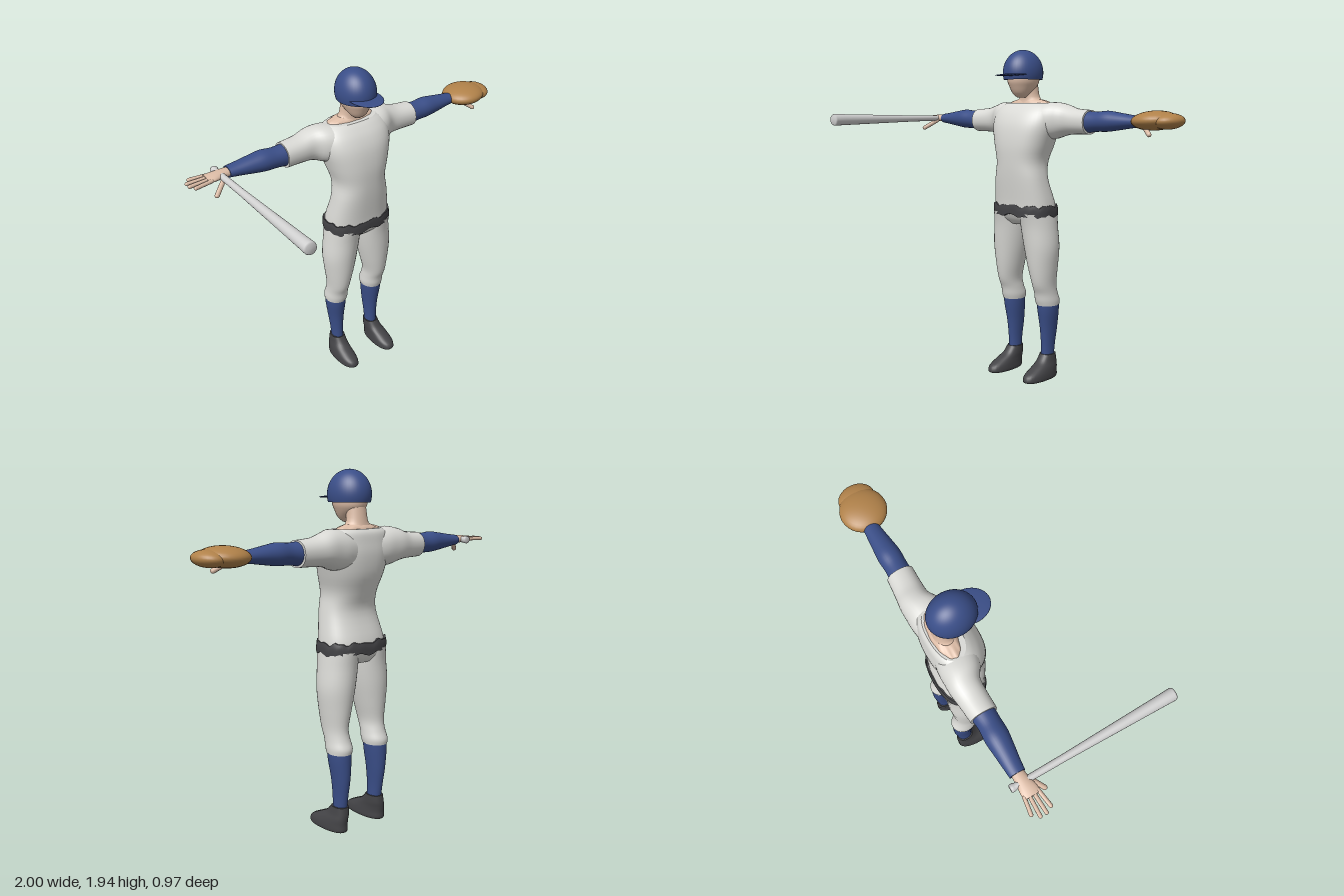
import * as THREE from 'three';

const mat = (name, color, side = THREE.FrontSide) => {
  const m = new THREE.MeshStandardMaterial({ color, side });
  m.name = name;
  return m;
};

// Catmull-Rom blend of four numbers
const blend = (a, b, c, d, t) =>
  0.5 * (2 * b + (c - a) * t + (2 * a - 5 * b + 4 * c - d) * t * t + (3 * b - a - 3 * c + d) * t * t * t);

// Smooth skin over oval sections. Row: [position, centre1, centre2, radius1, radius2].
// Along 'y' the section lies in x,z; along 'x' it lies in y,z. wave(angle, v) shifts points along the axis.
function loft(axis, rows, { n = 2, seg = 32, steps = 4, wave = null } = {}) {
  const rings = [];
  const last = rows.length - 1;
  for (let i = 0; i < last; i++) {
    for (let k = 0; k < steps + (i === last - 1 ? 1 : 0); k++) {
      const [a, b, c, d] = [rows[Math.max(i - 1, 0)], rows[i], rows[i + 1], rows[Math.min(i + 2, last)]];
      rings.push(b.map((v, j) => blend(a[j], v, c[j], d[j], k / steps)));
    }
  }
  const pos = [], idx = [];
  const put = (p, u, v) => (axis === 'y' ? pos.push(u, p, v) : pos.push(p, u, v));
  const pow = (v) => Math.sign(v) * Math.abs(v) ** (2 / n);
  const addRing = ([p, c1, c2, r1, r2], v) => {
    for (let s = 0; s < seg; s++) {
      const a = (s / seg) * Math.PI * 2;
      put(p + (wave ? wave(a, v) : 0), c1 + r1 * pow(Math.cos(a)), c2 + r2 * pow(Math.sin(a)));
    }
  };
  rings.forEach((r, i) => addRing(r, i / (rings.length - 1)));
  const flip = (axis === 'y') !== (rows[last][0] < rows[0][0]);
  const tri = (a, b, c) => (flip ? idx.push(a, c, b) : idx.push(a, b, c));
  for (let i = 0; i < rings.length - 1; i++) {
    for (let s = 0; s < seg; s++) {
      const a = i * seg + s, b = i * seg + ((s + 1) % seg);
      tri(a, b, b + seg);
      tri(a, b + seg, a + seg);
    }
  }
  // flat end caps with their own corners
  [[rings[0], 0], [rings[rings.length - 1], 1]].forEach(([r, v]) => {
    const start = pos.length / 3;
    addRing(r, v);
    put(r[0], r[1], r[2]);
    for (let s = 0; s < seg; s++) {
      const a = start + s, b = start + ((s + 1) % seg);
      v ? tri(a, b, start + seg) : tri(b, a, start + seg);
    }
  });
  const g = new THREE.BufferGeometry();
  g.setAttribute('position', new THREE.Float32BufferAttribute(pos, 3));
  g.setIndex(idx);
  g.computeVertexNormals();
  return g;
}

export function createModel() {
  const white = mat('uniform white', 0xd9d9d5);
  const blue = mat('team blue', 0x3a4e88, THREE.DoubleSide);
  const skin = mat('skin', 0xdcbca6);
  const dark = mat('charcoal', 0x434346);
  const tan = mat('glove leather', 0xb08149);
  const silver = mat('bat silver', 0xcfcfcf);

  const model = new THREE.Group();
  model.name = 'ballPlayer';
  const body = new THREE.Group();
  body.name = 'body';
  body.position.x = -0.015;
  model.add(body);
  const add = (parent, name, geo, material) => {
    const m = new THREE.Mesh(geo, material);
    m.name = name;
    parent.add(m);
    return m;
  };
  const ball = (rx, ry, rz, x, y, z) => new THREE.SphereGeometry(1, 32, 20).scale(rx, ry, rz).translate(x, y, z);

  // finger between two points
  const finger = (name, from, to, r) => {
    const a = new THREE.Vector3(...from), b = new THREE.Vector3(...to);
    const dir = b.clone().sub(a);
    const m = add(body, name, new THREE.CapsuleGeometry(r, dir.length() - r, 5, 10), skin);
    m.position.copy(a).lerp(b, 0.5);
    m.quaternion.setFromUnitVectors(new THREE.Vector3(0, 1, 0), dir.normalize());
  };

  // Shirt
  add(body, 'shirt', loft('y', [
    [1.0, 0, -0.315, 0.195, 0.133], [1.06, 0, -0.31, 0.193, 0.13], [1.2, 0, -0.28, 0.168, 0.116],
    [1.3, 0, -0.287, 0.154, 0.13], [1.4, 0, -0.303, 0.182, 0.147], [1.5, 0, -0.315, 0.21, 0.144],
    [1.57, 0, -0.326, 0.21, 0.125], [1.615, 0, -0.34, 0.19, 0.102], [1.637, 0, -0.345, 0.155, 0.08],
  ], { n: 2.4, seg: 48 }), white);

  // Belt with an uneven edge, and the seat below it
  add(body, 'belt', loft('y', [
    [0.985, 0, -0.317, 0.203, 0.139], [1.02, 0, -0.316, 0.204, 0.139], [1.045, 0, -0.314, 0.2, 0.135],
  ], { n: 2.6, seg: 72, wave: (a, v) => 0.006 * Math.sin(a * 9) + 0.005 * Math.sin(a * 17 + v * 2) }), dark);
  add(body, 'seat', loft('y', [
    [0.93, 0, -0.325, 0.12, 0.09], [0.96, 0, -0.32, 0.195, 0.115], [1.0, 0, -0.317, 0.198, 0.134],
  ], { n: 2.4 }), white);

  for (const s of [-1, 1]) {
    const side = s > 0 ? 'left' : 'right';

    // Leg, sock and shoe
    const leg = (rows) => rows.map(([y, x, ...rest]) => [y, s * x, ...rest]);
    add(body, side + 'TrouserLeg', loft('y', leg([
      [1.0, 0.1, -0.317, 0.1, 0.13], [0.92, 0.106, -0.32, 0.104, 0.117], [0.8, 0.121, -0.325, 0.101, 0.11],
      [0.68, 0.129, -0.328, 0.082, 0.098], [0.58, 0.135, -0.334, 0.064, 0.084], [0.52, 0.134, -0.352, 0.064, 0.077],
      [0.475, 0.134, -0.366, 0.068, 0.081], [0.445, 0.135, -0.37, 0.065, 0.075],
    ])), white);
    add(body, side + 'Sock', loft('y', leg([
      [0.46, 0.135, -0.37, 0.062, 0.072], [0.4, 0.135, -0.374, 0.058, 0.07], [0.3, 0.133, -0.381, 0.045, 0.061],
      [0.2, 0.132, -0.379, 0.036, 0.05], [0.12, 0.131, -0.375, 0.035, 0.044],
    ])), blue);
    add(body, side + 'Shoe', loft('y', leg([
      [0, 0.142, -0.297, 0.054, 0.13], [0.012, 0.142, -0.296, 0.058, 0.136], [0.04, 0.142, -0.303, 0.056, 0.128],
      [0.07, 0.14, -0.333, 0.051, 0.1], [0.1, 0.135, -0.362, 0.046, 0.071], [0.14, 0.132, -0.377, 0.042, 0.05],
    ]), { n: 2.3 }), dark);

    // Sleeve and arm
    const arm = (rows) => rows.map(([x, ...rest]) => [s * x, ...rest]);
    add(body, side + 'Sleeve', loft('x', arm([
      [0.04, 1.52, -0.34, 0.1, 0.1], [0.13, 1.53, -0.345, 0.106, 0.112], [0.2, 1.537, -0.357, 0.104, 0.102],
      [0.26, 1.541, -0.375, 0.088, 0.084], [0.33, 1.534, -0.373, 0.073, 0.077], [0.43, 1.531, -0.368, 0.068, 0.073],
    ]), { n: 2.2 }), white);
    add(body, side + 'Undersleeve', loft('x', arm([
      [0.41, 1.531, -0.368, 0.062, 0.064], [0.48, 1.534, -0.366, 0.055, 0.06], [0.55, 1.538, -0.368, 0.057, 0.063],
      [0.62, 1.538, -0.37, 0.048, 0.056], [0.7, 1.538, -0.373, 0.036, 0.047], [0.755, 1.538, -0.374, 0.029, 0.042],
    ])), blue);

    // Hand
    add(body, side + 'Palm', loft('x', arm([
      [0.74, 1.538, -0.373, 0.023, 0.033], [0.79, 1.54, -0.37, 0.022, 0.036], [0.84, 1.541, -0.366, 0.018, 0.045],
      [0.88, 1.54, -0.366, 0.012, 0.045],
    ]), { seg: 20 }), skin);
    [0.955, 0.982, 0.982, 0.965].forEach((tip, i) => {
      finger(side + 'Finger' + (i + 1), [s * 0.86, 1.54, -0.402 + i * 0.024], [s * tip, 1.538, -0.417 + i * 0.034], 0.0105);
    });
    finger(side + 'Thumb', [s * 0.79, 1.528, -0.34], [s * 0.87, 1.472, -0.285], 0.013);
  }

  // Neck, with skin showing inside the uneven collar
  add(body, 'neck', loft('y', [
    [1.6, 0, -0.35, 0.12, 0.07], [1.645, 0, -0.35, 0.09, 0.056], [1.675, 0, -0.347, 0.063, 0.052],
    [1.75, 0, -0.338, 0.055, 0.05],
  ]), skin);
  add(body, 'collarSkin', loft('y', [
    [1.625, 0, -0.353, 0.147, 0.066], [1.642, 0, -0.353, 0.138, 0.06], [1.658, 0, -0.35, 0.08, 0.05],
  ], { seg: 48, wave: (a, v) => (1 - v) * 0.005 * Math.sin(a * 11) }), skin);

  // Head
  add(body, 'head', loft('y', [
    [1.667, 0, -0.275, 0.022, 0.022], [1.69, 0, -0.272, 0.047, 0.05], [1.73, 0, -0.288, 0.071, 0.088],
    [1.77, 0, -0.291, 0.084, 0.104], [1.85, 0, -0.29, 0.082, 0.1],
  ]), skin);

  // Helmet shell and brim
  add(body, 'helmet', new THREE.SphereGeometry(1, 40, 24, 0, Math.PI * 2, 0, 1.883)
    .scale(0.108, 0.13, 0.128).translate(0, 1.81, -0.288), blue);
  const brim = add(body, 'helmetBrim', ball(0.092, 0.007, 0.112, 0, 0, 0), blue);
  brim.position.set(0, 1.798, -0.2);
  brim.rotation.x = 0.06;

  // Fielding glove: pocket and finger lobe
  const glove = new THREE.Group();
  glove.name = 'glove';
  glove.position.set(0.836, 1.546, -0.364);
  glove.rotation.z = 0.06;
  add(glove, 'glovePocket', ball(0.125, 0.052, 0.126, 0, 0, 0), tan);
  add(glove, 'gloveFingers', ball(0.08, 0.042, 0.1, 0.082, -0.008, 0.002), tan);
  model.add(glove);

  // Bat pointing forward from the right hand
  const profile = [[0, 0], [0.018, 0], [0.021, 0.006], [0.021, 0.018], [0.017, 0.028], [0.019, 0.3], [0.026, 0.6],
    [0.032, 0.85], [0.034, 0.912], [0.029, 0.921], [0, 0.922]].map(([r, y]) => new THREE.Vector2(r, y));
  const bat = add(model, 'bat', new THREE.LatheGeometry(profile, 28), silver);
  bat.position.set(-0.815, 1.539, -0.44);
  bat.rotation.x = Math.PI / 2;

  return model;
}
